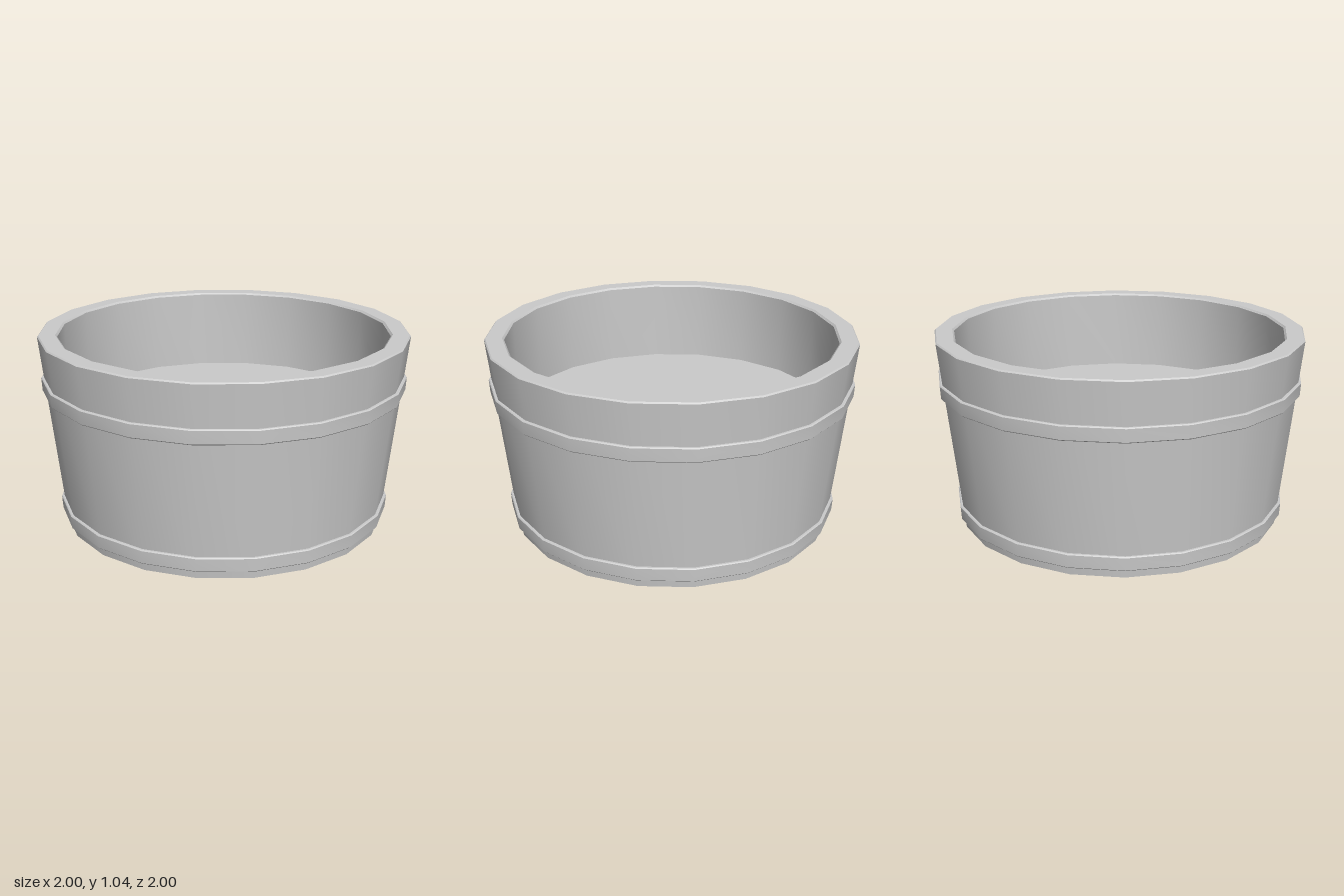
import * as THREE from 'three';
import { toCreasedNormals } from 'three/addons/utils/BufferGeometryUtils.js';

const SIDES = 20;
const HEIGHT = 1.045;
const BASE_R = 0.89;
const BEVEL = 0.007;

// Outer radius of the tapered wall at height y
const wallRadius = (y) => BASE_R + (0.11 * y) / (HEIGHT - BEVEL);

export function createModel() {
  const group = new THREE.Group();
  const material = new THREE.MeshStandardMaterial({ color: 0xcccccc });

  // Revolves a profile: smooth around the tub, sharp along profile corners
  function addLathe(name, profile) {
    const points = profile.map(([r, y]) => new THREE.Vector2(r, y));
    const geometry = toCreasedNormals(new THREE.LatheGeometry(points, SIDES), 0.5);
    const mesh = new THREE.Mesh(geometry, material);
    mesh.name = name;
    group.add(mesh);
  }

  // Tub: underside, tapered wall, bevelled rim, straight inner wall, raised floor
  const floorY = 0.59;
  const innerR = 0.895;
  addLathe('tub', [
    [0, 0], [BASE_R, 0],
    [1, HEIGHT - BEVEL], [1 - BEVEL, HEIGHT],
    [innerR + 0.01, HEIGHT], [innerR, HEIGHT - 0.01],
    [innerR, floorY], [0, floorY],
  ]);

  // Hoops follow the taper of the wall and have bevelled outer edges
  function addHoop(name, y0, y1) {
    const b = 0.005;
    const out = 0.019;
    const r0 = wallRadius(y0);
    const r1 = wallRadius(y1);
    addLathe(name, [
      [r0 - 0.01, y0], [r0 + out - b, y0], [r0 + out, y0 + b],
      [r1 + out - 0.009 + b, y1 - b], [r1 + out - 0.009, y1], [r1 - 0.01, y1],
    ].map(([r, y]) => [Math.min(r, 0.997), y]));
  }
  addHoop('lowerHoop', 0.045, 0.123);
  addHoop('upperHoop', 0.738, 0.816);

  return group;
}
